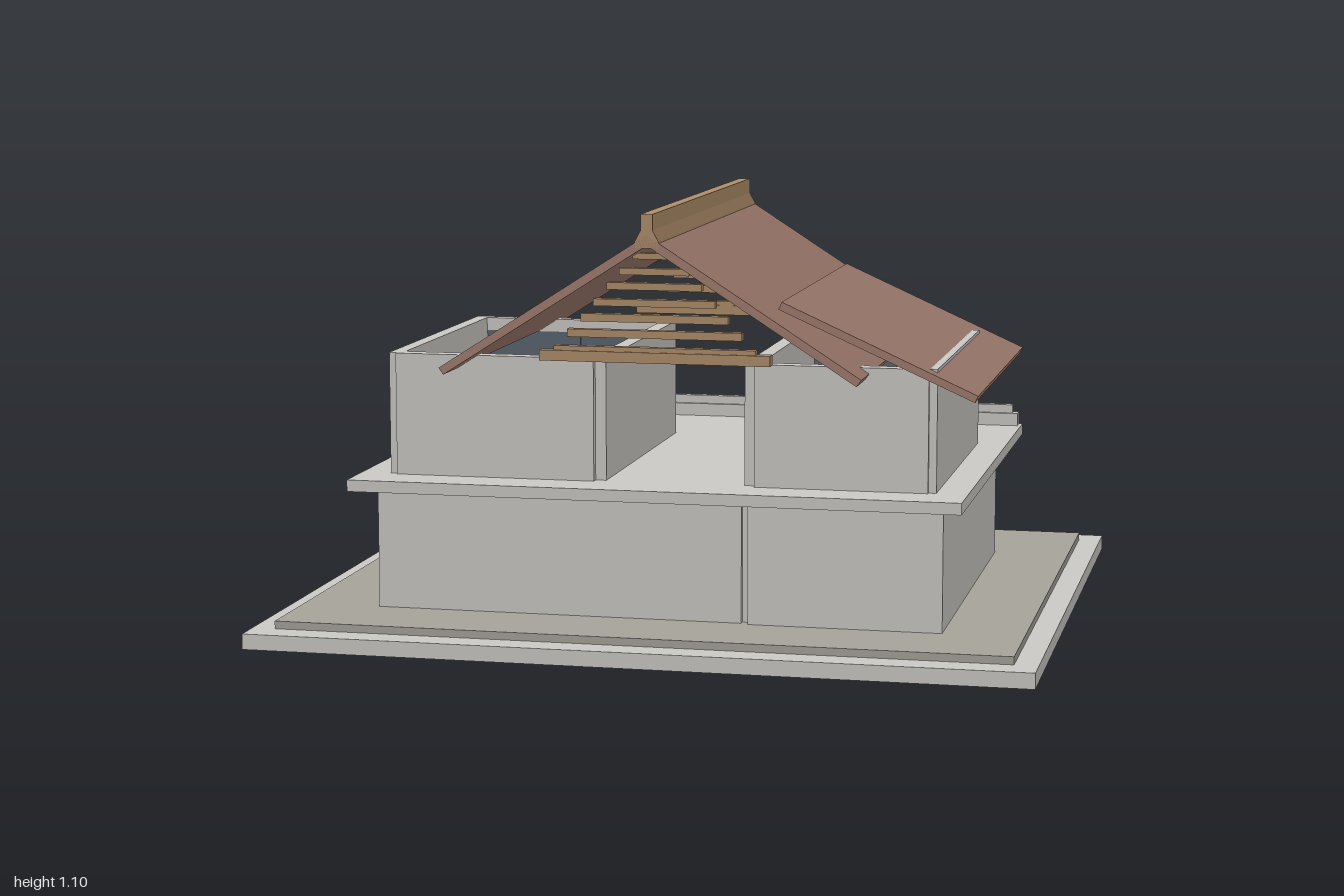
import * as THREE from 'three';

const mat = (name, color) => {
  const m = new THREE.MeshStandardMaterial({ color });
  m.name = name;
  return m;
};

export function createModel() {
  const house = new THREE.Group();
  house.name = 'house';
  const plaster = mat('plaster', 0xcac8c4);
  const paving = mat('paving', 0xa5a299);
  const tile = mat('roofTile', 0xa07c6f);
  const wood = mat('wood', 0xae8d69);
  const glass = mat('glass', 0x596470);

  // Box given by its extents on each axis
  const box = (name, m, x0, x1, y0, y1, z0, z1, parent = house) => {
    const mesh = new THREE.Mesh(new THREE.BoxGeometry(x1 - x0, y1 - y0, z1 - z0), m);
    mesh.position.set((x0 + x1) / 2, (y0 + y1) / 2, (z0 + z1) / 2);
    mesh.name = name;
    parent.add(mesh);
    return mesh;
  };
  // Profile in x and y, swept along z
  const sweep = (name, m, pts, z0, z1) => {
    const shape = new THREE.Shape(pts.map(p => new THREE.Vector2(...p)));
    const geo = new THREE.ExtrudeGeometry(shape, { depth: z1 - z0, bevelEnabled: false });
    const mesh = new THREE.Mesh(geo, m);
    mesh.position.z = z0;
    mesh.name = name;
    house.add(mesh);
  };
  const group = name => {
    const g = new THREE.Group();
    g.name = name;
    house.add(g);
    return g;
  };

  // Plot
  box('plot', plaster, -1, 1, 0, 0.04, -0.89, 0.89);
  box('yard', paving, -0.94, 0.94, 0.04, 0.06, -0.815, 0.815);

  // A sliding window of two overlapping panes
  const panes = (x0, x1, y0, y1, z, parent) => {
    const mid = (x0 + x1) / 2;
    box('pane', glass, x0, mid + 0.02, y0, y1, z, z + 0.008, parent);
    box('pane', glass, mid, x1, y0, y1, z - 0.01, z - 0.002, parent);
  };

  // Ground floor walls
  const ground = group('groundFloor');
  const y0 = 0.06, y1 = 0.375, t = 0.04;
  box('frontWallRight', plaster, -0.735, 0.222, y0, y1, 0.555, 0.59, ground);
  box('frontWallLeft', plaster, 0.24, 0.735, y0, y1, 0.56, 0.6, ground);
  box('frontJoint', plaster, 0.2, 0.26, y0, y1, 0.545, 0.575, ground);
  box('rightWall', plaster, -0.735, -0.735 + t, y0, y1, -0.47, 0.555, ground);
  box('leftWall', plaster, 0.735 - t, 0.735, y0, y1, -0.47, 0.56, ground);
  box('hallWallRight', plaster, -0.2, -0.16, y0, y1, -0.47, 0.555, ground);
  box('hallWallLeft', plaster, 0.17, 0.22, y0, y1, -0.47, 0.555, ground);

  // Back window of the right-hand room
  box('sill', plaster, -0.695, -0.2, y0, 0.14, -0.47, -0.43, ground);
  box('lintel', plaster, -0.695, -0.2, 0.35, y1, -0.47, -0.43, ground);
  panes(-0.695, -0.2, 0.14, 0.35, -0.445, ground);

  // Barred window of the left-hand room
  box('sill', plaster, 0.22, 0.695, y0, 0.11, -0.47, -0.43, ground);
  box('lintel', plaster, 0.22, 0.695, 0.35, y1, -0.47, -0.43, ground);
  box('jamb', plaster, 0.22, 0.28, 0.11, 0.35, -0.47, -0.43, ground);
  box('jamb', plaster, 0.655, 0.695, 0.11, 0.35, -0.47, -0.43, ground);
  panes(0.28, 0.655, 0.11, 0.35, -0.435, ground);
  for (let i = 0; i < 9; i++) {
    const x = 0.295 + i * 0.043;
    box('windowBar', wood, x - 0.009, x + 0.009, 0.11, 0.35, -0.475, -0.455, ground);
  }

  // Terrace slab and stepped back parapet
  box('terraceSlab', plaster, -0.79, 0.79, 0.375, 0.405, -0.63, 0.675);
  box('parapet', plaster, -0.785, 0.78, 0.405, 0.44, -0.628, -0.588);
  box('parapetCap', plaster, -0.77, 0.765, 0.44, 0.463, -0.62, -0.598);

  // Upper rooms, open at the top; xo is the outer side, xi the hall side
  const upperRoom = (name, xo, xi, top) => {
    const g = group(name);
    const s = Math.sign(xo);
    const wall = (n, a, b, ...r) => box(n, plaster, Math.min(a, b), Math.max(a, b), ...r, g);
    const outer = xo - s * 0.035, inner = xi + s * 0.038;
    wall('outerWall', xo, outer, 0.405, top, -0.26, 0.55);
    wall('hallWall', xi, inner, 0.405, top, -0.26, 0.54);
    wall('frontWall', xo - s * 0.02, inner - s * 0.01, 0.405, top, 0.52, 0.56);
    wall('sill', outer + s * 0.015, xi + s * 0.01, 0.405, 0.5, -0.27, -0.23);
    wall('lintel', outer, inner, 0.685, top, -0.26, -0.228);
    panes(Math.min(outer, inner), Math.max(outer, inner), 0.5, 0.685, -0.24, g);
  };
  upperRoom('upperRoomRight', -0.712, -0.14, 0.72);
  upperRoom('upperRoomLeft', 0.71, 0.22, 0.717);

  // Terrace railing
  const railing = group('railing');
  box('handrail', wood, 0.22, 0.69, 0.51, 0.522, -0.405, -0.393, railing);
  for (let i = 0; i < 10; i++) {
    const x = 0.235 + i * 0.049;
    box('baluster', wood, x - 0.005, x + 0.005, 0.405, 0.51, -0.403, -0.395, railing);
  }

  // Main gable roof, ridge and side roof
  for (const s of [-1, 1]) {
    sweep('roofSlope', tile,
      [[0, 1.048], [s * 0.54, 0.702], [s * 0.528, 0.685], [0, 1.022]], -0.53, 0.68);
  }
  sweep('ridge', wood, [[-0.034, 1.015], [0.034, 1.015], [0.03, 1.032], [0.015, 1.06],
    [0.015, 1.1], [-0.015, 1.1], [-0.015, 1.06], [-0.03, 1.032]], -0.53, 0.68);
  sweep('sideRoof', tile, [[0.325, 0.881], [0.317, 0.862], [0.81, 0.643], [0.818, 0.66]],
    -0.36, 0.6);

  // Gable beams and slats at both ends: [bottom, top, half width]
  const slats = [[0.745, 0.757, 0.26], [0.78, 0.8, 0.225], [0.82, 0.84, 0.19],
    [0.86, 0.878, 0.157], [0.902, 0.92, 0.122], [0.94, 0.957, 0.09], [0.98, 0.995, 0.055]];
  for (const z of [-0.46, 0.59]) {
    const gable = group(z > 0 ? 'frontGable' : 'backGable');
    box('gableBeam', wood, -0.297, 0.297, 0.718, 0.745, z - 0.016, z + 0.016, gable);
    for (const [a, b, w] of slats) box('gableSlat', wood, -w, w, a, b, z - 0.012, z + 0.012, gable);
  }
  return house;
}
